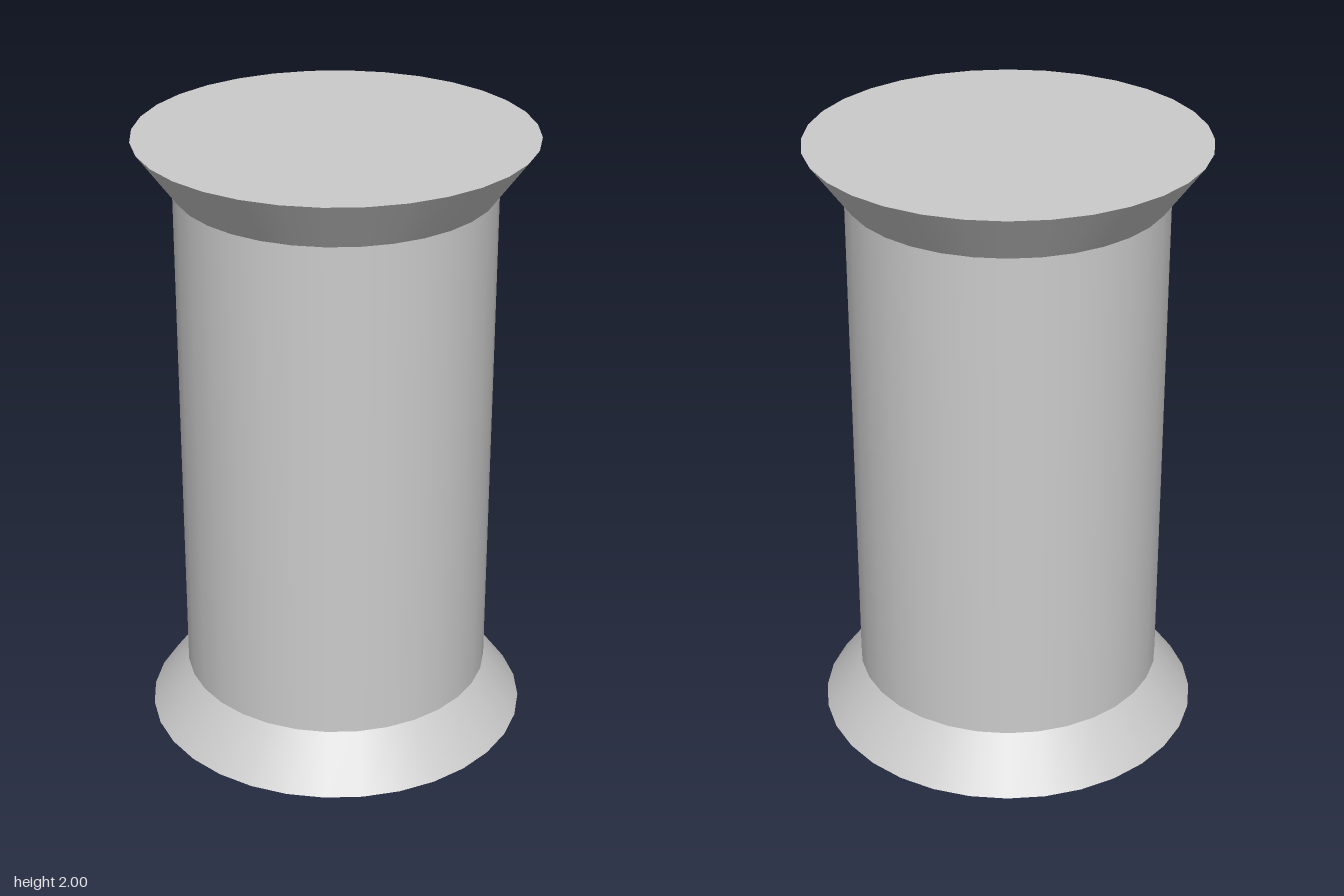
import * as THREE from 'three';

const SIDES = 32;
const HEIGHT = 2;
const FLANGE = 0.167; // flange thickness
const CORE_R = 0.5;
const RIM_R = 0.622;

export function createModel() {
  const spool = new THREE.Group();
  spool.name = 'spool';
  const material = new THREE.MeshStandardMaterial({ color: 0xcccccc });

  const addPart = (name, topR, bottomR, height, y, open = false) => {
    const geometry = new THREE.CylinderGeometry(topR, bottomR, height, SIDES, 1, open);
    const mesh = new THREE.Mesh(geometry, material);
    mesh.name = name;
    mesh.position.y = y;
    spool.add(mesh);
  };

  // Straight barrel between two flared, capped ends
  addPart('barrel', CORE_R, CORE_R, HEIGHT - 2 * FLANGE, HEIGHT / 2, true);
  addPart('bottomFlange', CORE_R, RIM_R, FLANGE, FLANGE / 2);
  addPart('topFlange', RIM_R, CORE_R, FLANGE, HEIGHT - FLANGE / 2);

  return spool;
}
